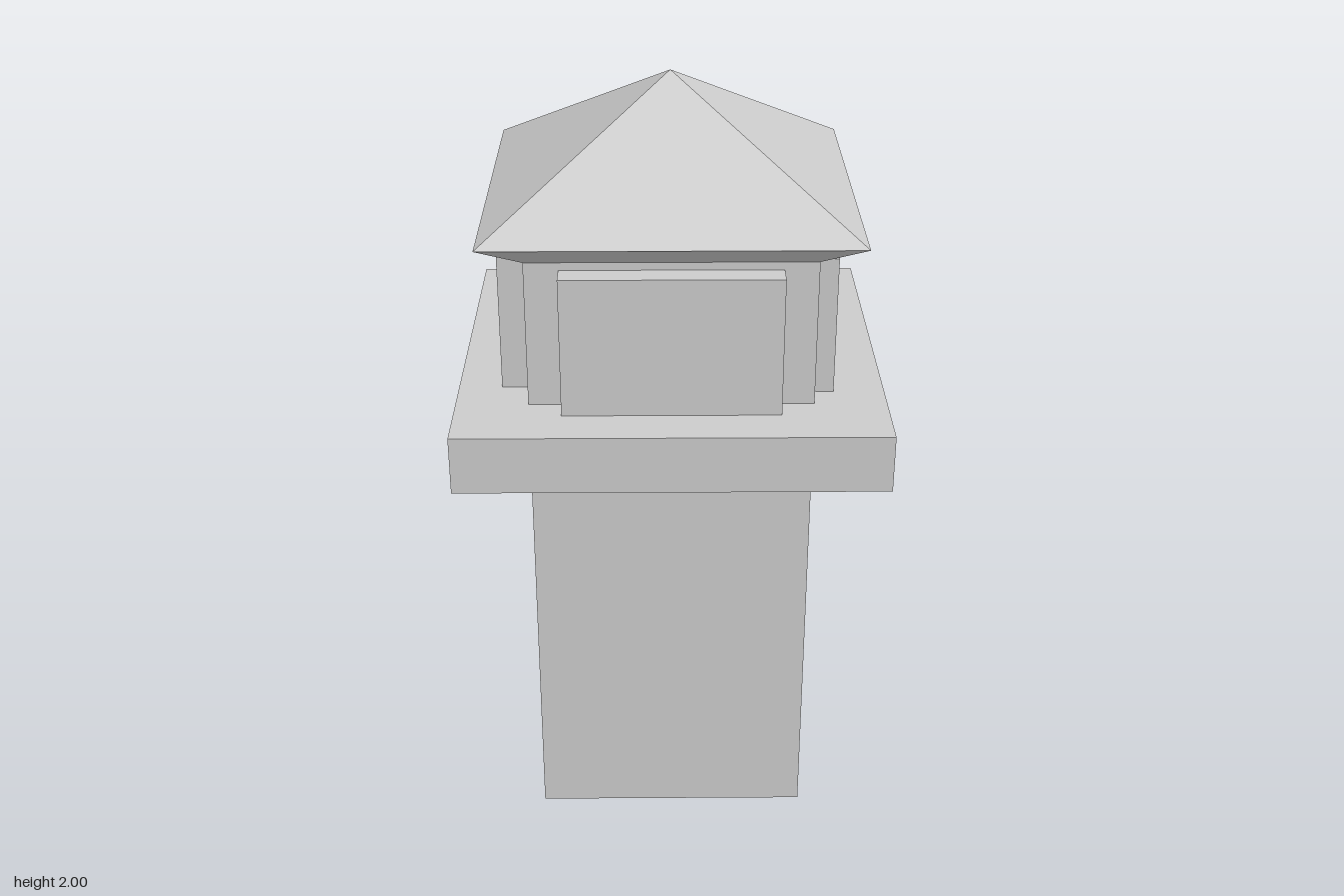
import * as THREE from 'three';

export function createModel() {
  const group = new THREE.Group();
  const material = new THREE.MeshStandardMaterial({ color: 0xcccccc, flatShading: true });

  const add = (name, geometry, x, y, z, turn = 0) => {
    const mesh = new THREE.Mesh(geometry, material);
    mesh.name = name;
    mesh.position.set(x, y, z);
    mesh.rotation.y = turn;
    group.add(mesh);
  };

  // Box standing between two heights
  const block = (name, width, depth, bottom, top, x = 0, z = 0, turn = 0) =>
    add(name, new THREE.BoxGeometry(width, top - bottom, depth), x, (bottom + top) / 2, z, turn);

  // Square frustum given by half widths, sides parallel to the axes
  const frustum = (name, topHalf, bottomHalf, bottom, top, open) => {
    const r = Math.SQRT2;
    const geometry = new THREE.CylinderGeometry(topHalf * r, bottomHalf * r, top - bottom, 4, 1, open);
    geometry.rotateY(Math.PI / 4);
    add(name, geometry, 0, (bottom + top) / 2, 0);
  };

  // Tower
  block('shaft', 0.715, 0.715, 0, 1.1);
  block('platform', 1.08, 1.08, 1.1, 1.25);
  block('cabin', 0.715, 0.715, 1.25, 1.63);

  // Raised panels on the four cabin walls; the side pair is slightly askew
  const tilt = 0.035;
  for (const side of [1, -1]) {
    block(side > 0 ? 'frontPanel' : 'backPanel', 0.545, 0.12, 1.25, 1.61, 0, side * 0.36);
    block(side > 0 ? 'leftPanel' : 'rightPanel', 0.12, 0.545, 1.25, 1.61, side * 0.361, side * 0.015, -tilt);
  }

  // Pyramid roof over flared eaves
  frustum('eaves', 0.463, 0.3575, 1.63, 1.7, true);
  frustum('roof', 0, 0.463, 1.7, 2, true);

  return group;
}
